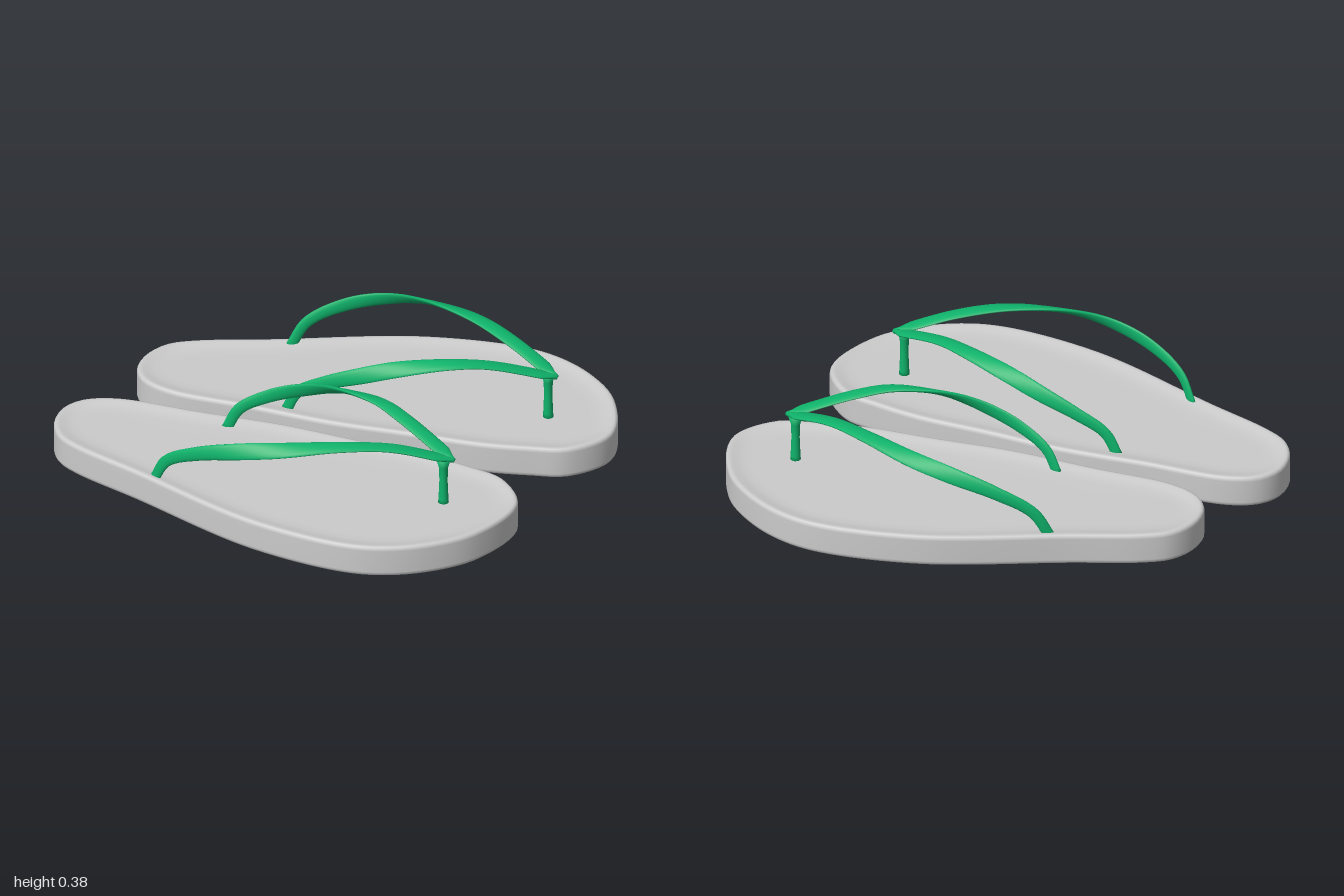
import * as THREE from 'three';

const grey = new THREE.MeshStandardMaterial({ color: 0xcccccc });
const green = new THREE.MeshStandardMaterial({ color: 0x0fb36b });

// One foot seen from above (x, z), from the heel round the inner side to the toes and back.
const FOOT = [[-1, 0.03], [-0.984, -0.067], [-0.92, -0.136], [-0.797, -0.163], [-0.5, -0.115], [-0.18, -0.067],
  [0.1, 0.003], [0.353, 0.062], [0.52, 0.125], [0.647, 0.19], [0.727, 0.36], [0.61, 0.585], [0.46, 0.69],
  [0.3, 0.74], [0.14, 0.738], [-0.21, 0.621], [-0.663, 0.34], [-0.893, 0.2], [-0.968, 0.13]];

// Sole section as [inset, height], with rounded rims and a shallow dished top.
const SOLE_STEPS = [[0.06, 0], [0.016, 0], [0.006, 0.003], [0.001, 0.01], [0, 0.018], [0, 0.104],
  [0.001, 0.111], [0.005, 0.118], [0.012, 0.12], [0.022, 0.119], [0.04, 0.114], [0.065, 0.11], [0.1, 0.109]];

// Strap centre lines from anchor to toe.
const OUTER_STRAP = [[-0.59, 0.1, 0.35], [-0.54, 0.2, 0.385], [-0.42, 0.275, 0.445], [-0.26, 0.325, 0.492],
  [-0.1, 0.35, 0.502], [0.1, 0.362, 0.47], [0.28, 0.345, 0.42], [0.497, 0.283, 0.368]];
const INNER_STRAP = [[-0.385, 0.1, -0.04], [-0.34, 0.185, -0.038], [-0.235, 0.25, -0.032], [-0.1, 0.305, -0.005],
  [0.03, 0.345, 0.045], [0.19, 0.365, 0.135], [0.3, 0.35, 0.222], [0.497, 0.283, 0.368]];

// Skins a list of rings (each running clockwise about the loft direction) and caps both ends.
function loft(rings) {
  const n = rings[0].length, pos = [], idx = [];
  const add = (p) => pos.push(p.x, p.y, p.z) / 3 - 1;
  rings.forEach((ring) => ring.forEach(add));
  const centre = (ring) => ring.reduce((s, p) => s.add(p), new THREE.Vector3()).divideScalar(n);
  const last = (rings.length - 1) * n;
  const first = add(centre(rings[0])), end = add(centre(rings[rings.length - 1]));
  for (let i = 0; i < n; i++) {
    const j = (i + 1) % n;
    for (let r = 0; r < last; r += n) idx.push(r + i, r + n + i, r + j, r + j, r + n + i, r + n + j);
    idx.push(first, i, j, end, last + j, last + i);
  }
  const geo = new THREE.BufferGeometry();
  geo.setAttribute('position', new THREE.Float32BufferAttribute(pos, 3));
  geo.setIndex(idx);
  geo.computeVertexNormals();
  return geo;
}

// Sole: the foot outline stacked through the section steps.
function sole(mirror) {
  const points = FOOT.map(([x, z]) => new THREE.Vector3(x, 0, z * mirror));
  if (mirror < 0) points.reverse();
  const curve = new THREE.CatmullRomCurve3(points, true);
  const N = 128;
  return loft(SOLE_STEPS.map(([inset, y]) => Array.from({ length: N }, (_, i) => {
    const p = curve.getPointAt(i / N), t = curve.getTangentAt(i / N);
    return new THREE.Vector3(p.x - t.z * inset, y, p.z + t.x * inset);
  })));
}

// Strap: a thin rounded band, upright at its anchor and turning flat towards the toe.
function strap(points, side, mirror) {
  const curve = new THREE.CatmullRomCurve3(points.map(([x, y, z]) => new THREE.Vector3(x, y, z * mirror)));
  const up = new THREE.Vector3(0, 1, 0), STEPS = 56, SIDES = 14, rings = [];
  for (let s = 0; s <= STEPS; s++) {
    const t = s / STEPS, p = curve.getPointAt(t), T = curve.getTangentAt(t);
    const flat = THREE.MathUtils.smoothstep(t, 0.1, 0.8);
    const N = new THREE.Vector3(-T.z, 0, T.x).normalize().multiplyScalar(side * mirror).lerp(up, flat);
    N.addScaledVector(T, -N.dot(T)).normalize();
    const W = new THREE.Vector3().crossVectors(T, N);
    const taper = 1 - 0.75 * THREE.MathUtils.smoothstep(t, 0.94, 1);
    const half = (0.02 + 0.011 * THREE.MathUtils.smoothstep(t, 0, 0.4)) * taper;
    rings.push(Array.from({ length: SIDES }, (_, i) => {
      const a = (-2 * Math.PI * i) / SIDES;
      return p.clone().addScaledVector(N, 0.009 * Math.cos(a)).addScaledVector(W, half * Math.sin(a));
    }));
  }
  return loft(rings);
}

// Toe post: slim turned pin, flaring a little where it meets the straps.
function toePost() {
  const profile = [[0, 0.1], [0.02, 0.1], [0.018, 0.125], [0.015, 0.2], [0.017, 0.255], [0.026, 0.285], [0, 0.293]];
  return new THREE.LatheGeometry(profile.map(([r, y]) => new THREE.Vector2(r, y)), 16);
}

function sandal(name, mirror) {
  const group = new THREE.Group();
  group.name = name;
  const part = (partName, geometry, material) => {
    const mesh = new THREE.Mesh(geometry, material);
    mesh.name = partName;
    group.add(mesh);
    return mesh;
  };
  part('sole', sole(mirror), grey);
  part('outerStrap', strap(OUTER_STRAP, 1, mirror), green);
  part('innerStrap', strap(INNER_STRAP, -1, mirror), green);
  part('toePost', toePost(), green).position.set(0.46, 0, 0.37 * mirror);
  return group;
}

export function createModel() {
  const model = new THREE.Group();
  model.name = 'flipFlops';
  const front = sandal('frontSandal', 1);
  // The other foot is the mirror image, turned and set behind.
  const back = sandal('backSandal', -1);
  back.rotation.y = -0.368;
  back.position.set(0.18, 0, -0.098);
  model.add(front, back);
  return model;
}
